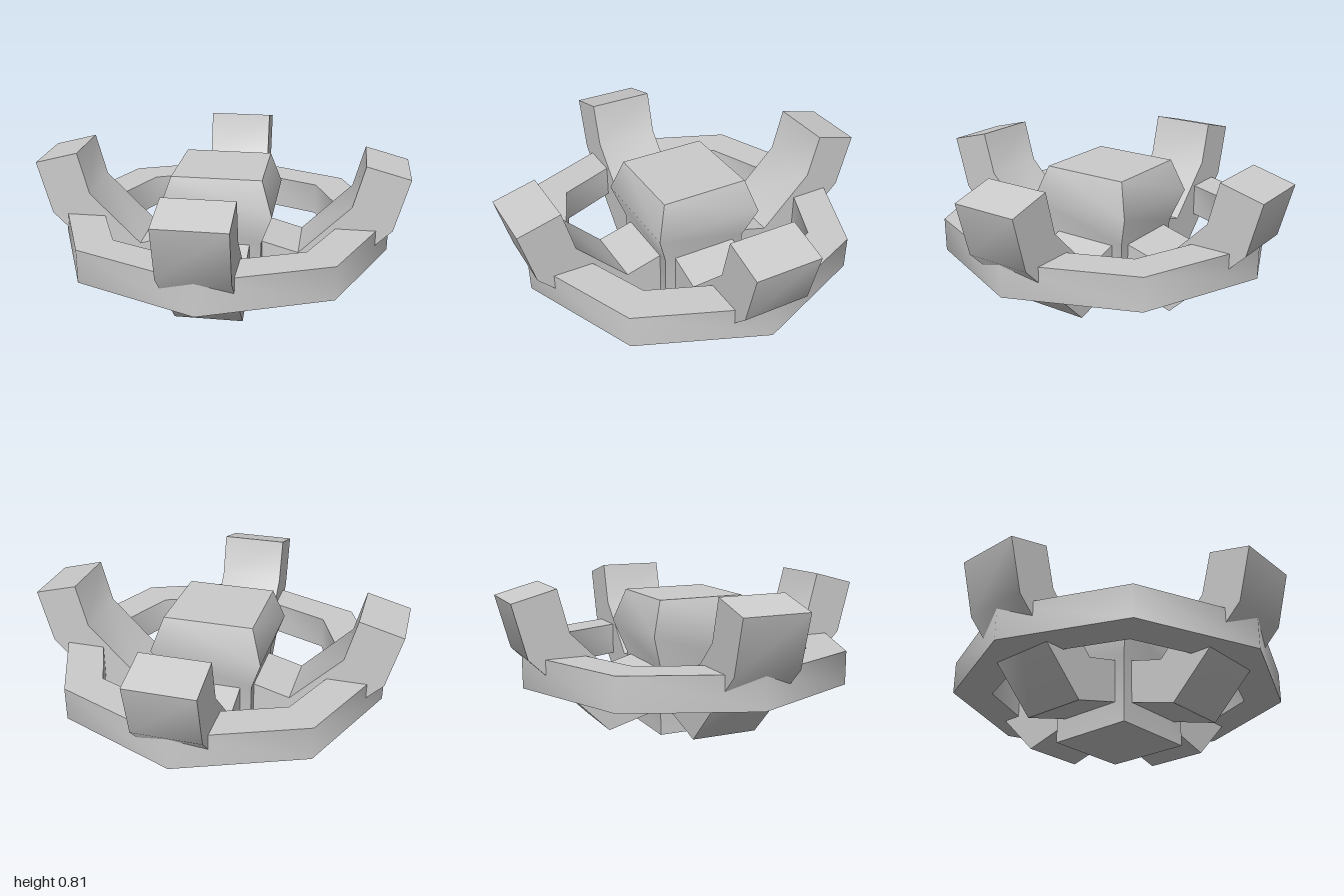
import * as THREE from 'three';
import { toCreasedNormals } from 'three/addons/utils/BufferGeometryUtils.js';

const CREASE = 0.9;

function part(name, geometry) {
  const mesh = new THREE.Mesh(
    toCreasedNormals(geometry, CREASE),
    new THREE.MeshStandardMaterial({ color: 0xcccccc })
  );
  mesh.name = name;
  return mesh;
}

function octagon(radius) {
  return Array.from({ length: 8 }, (_, i) => {
    const a = (i * Math.PI) / 4;
    return new THREE.Vector2(radius * Math.cos(a), radius * Math.sin(a));
  });
}

export function createModel() {
  const model = new THREE.Group();
  model.name = 'ringedHub';

  // Square column with a flared head: [half width, height]
  const profile = [
    [0, 0], [0.24, 0], [0.24, 0.37], [0.3, 0.545], [0.24, 0.725], [0, 0.725],
  ].map(([w, y]) => new THREE.Vector2(w * Math.SQRT2, y));
  model.add(part('hub', new THREE.LatheGeometry(profile, 4, Math.PI / 4)));

  // Octagonal ring lying flat
  const ringShape = new THREE.Shape(octagon(0.912));
  ringShape.holes.push(new THREE.Path(octagon(0.7).reverse()));
  const ring = new THREE.ExtrudeGeometry(ringShape, { depth: 0.18, bevelEnabled: false });
  ring.rotateX(-Math.PI / 2).translate(0, 0.275, 0);
  model.add(part('ring', ring));

  // Four bent arms, dipping from the hub and rising through the ring
  const armShape = new THREE.Shape([
    [0.22, 0.126], [0.507, 0.045], [0.925, 0.46], [1, 0.745],
    [0.768, 0.807], [0.708, 0.58], [0.435, 0.305], [0.22, 0.365],
  ].map(([x, y]) => new THREE.Vector2(x, y)));
  for (let i = 0; i < 4; i++) {
    const arm = new THREE.ExtrudeGeometry(armShape, { depth: 0.358, bevelEnabled: false });
    arm.translate(0, 0, -0.179).rotateY((i * Math.PI) / 2);
    model.add(part('arm' + (i + 1), arm));
  }
  return model;
}
